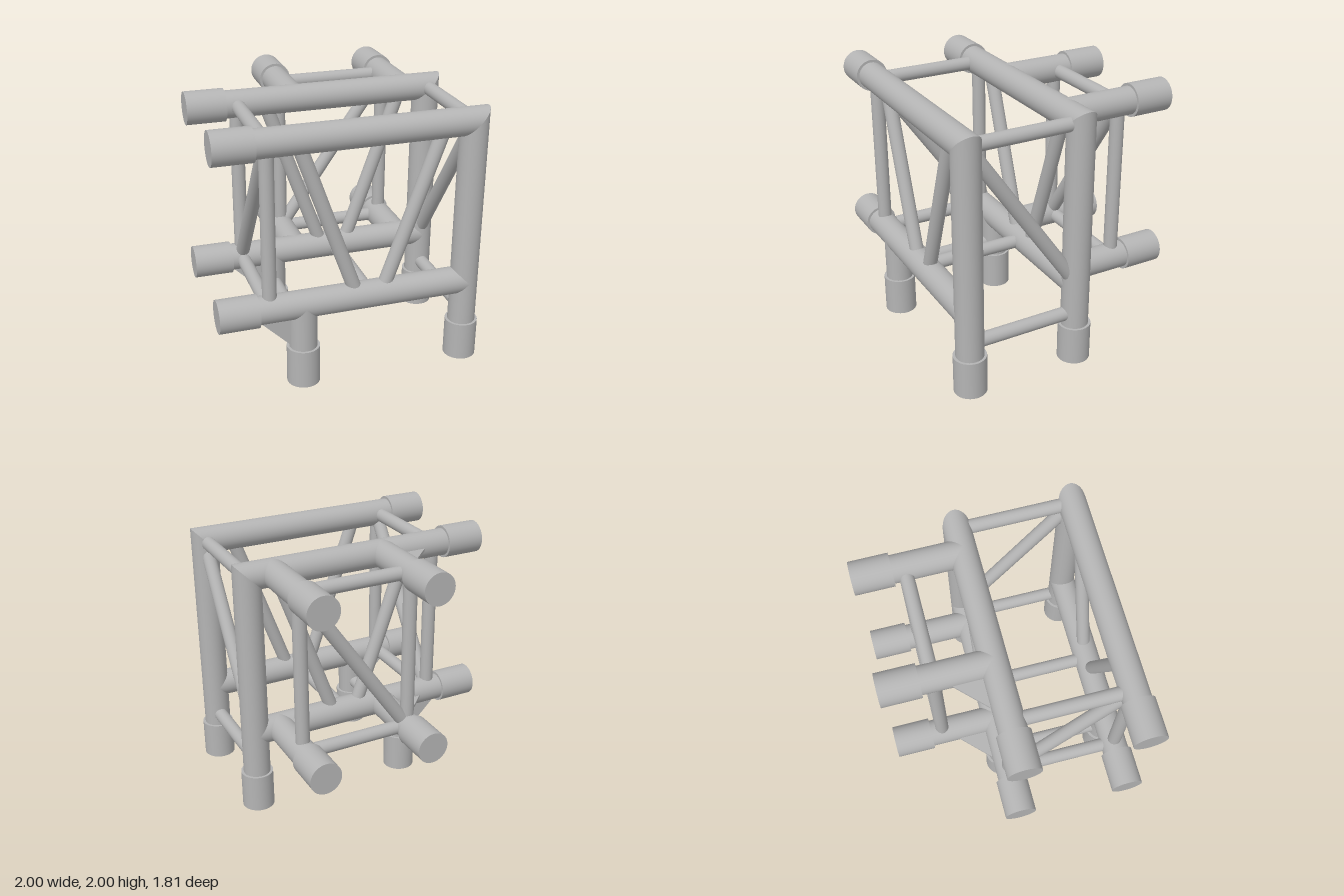
import * as THREE from 'three';

const X_END = 0.878, X_LEG = -0.375;      // long corner leg and short leg
const Z_PLANES = [0.782, -0.084];         // front and rear truss planes
const Y_TOP = 1.878, Y_LOW = 0.633;       // upper and lower chord levels
const X_ARMS = [0.682, -0.184];           // rear arms
const Z_BRACE = -0.518, X_BRACE = -0.62;  // brace stations
const R_CHORD = 0.103, R_COUPLER = 0.122, R_BRACE = 0.052;

export function createModel() {
  const group = new THREE.Group();
  const steel = new THREE.MeshStandardMaterial({ color: 0xb4b4b4 });

  function add(name, geometry) {
    const mesh = new THREE.Mesh(geometry, steel);
    mesh.name = name;
    group.add(mesh);
    return mesh;
  }

  // Round bar from a to b; an optional rule trims its far end
  function tube(name, a, b, radius, trim) {
    const start = new THREE.Vector3(...a), end = new THREE.Vector3(...b);
    const dir = end.clone().sub(start);
    const geo = new THREE.CylinderGeometry(radius, radius, dir.length(), 40);
    const p = geo.attributes.position;
    const half = dir.length() / 2;
    const far = [];
    for (let i = 0; i < p.count; i++) if (p.getY(i) > half - 1e-4) far.push(i);
    geo.applyQuaternion(new THREE.Quaternion().setFromUnitVectors(new THREE.Vector3(0, 1, 0), dir.normalize()));
    const mid = start.add(end).multiplyScalar(0.5);
    geo.translate(mid.x, mid.y, mid.z);
    if (trim) for (const i of far) trim(p, i);
    return add(name, geo);
  }
  const brace = (name, a, b) => tube(name, a, b, R_BRACE);

  // Triangular stiffening plate in the xy plane
  function gusset(name, corners) {
    const shape = new THREE.Shape(corners.map(c => new THREE.Vector2(...c)));
    const geo = new THREE.ExtrudeGeometry(shape, { depth: 0.02, bevelEnabled: false });
    geo.translate(0, 0, -0.01);
    return add(name, geo);
  }

  // 45 degree mitres where the upper chords meet the long legs
  const mitreChord = (p, i) => p.setX(i, X_END + p.getY(i) - Y_TOP);
  const mitreLeg = (p, i) => p.setY(i, Y_TOP + p.getX(i) - X_END);

  for (const z of Z_PLANES) {
    // Chords with couplers
    for (const y of [Y_TOP, Y_LOW]) {
      tube('chord', [-0.72, y, z], [X_END, y, z], R_CHORD, y === Y_TOP ? mitreChord : null);
      tube('chordCoupler', [-1, y, z], [-0.71, y, z], R_COUPLER);
    }
    // Legs with couplers
    tube('longLeg', [X_END, 0.28, z], [X_END, Y_TOP, z], R_CHORD, mitreLeg);
    tube('shortLeg', [X_LEG, 0.28, z], [X_LEG, Y_LOW, z], R_CHORD);
    for (const x of [X_END, X_LEG]) tube('legCoupler', [x, 0, z], [x, 0.295, z], R_COUPLER);
    // Upright and the two sloping braces
    brace('uprightBrace', [X_BRACE, Y_LOW, z], [X_BRACE, Y_TOP, z]);
    brace('slopingBrace', [-0.4, 1.85, z], [0.025, 0.66, z]);
    brace('slopingBrace', [0.655, 1.85, z], [0.23, 0.66, z]);
    gusset('legGusset', [[-0.7, 0.54], [-0.46, 0.3], [-0.46, 0.54]]).position.z = z;
  }

  // Rear arms with couplers, uprights and gussets
  for (const y of [Y_TOP, Y_LOW]) {
    for (const x of X_ARMS) {
      tube('rearArm', [x, y, Z_PLANES[1]], [x, y, -0.62], R_CHORD);
      tube('rearArmCoupler', [x, y, -0.61], [x, y, -0.903], R_COUPLER);
    }
    brace('rearCrossBrace', [X_ARMS[0], y, Z_BRACE], [X_ARMS[1], y, Z_BRACE]);
    const plate = gusset('armGusset', [[-0.51, 0.175], [-0.27, 0.175], [-0.27, 0.415]]);
    plate.rotation.x = -Math.PI / 2;
    plate.position.y = y;
  }
  for (const x of X_ARMS) brace('rearUpright', [x, Y_LOW, Z_BRACE], [x, Y_TOP, Z_BRACE]);
  brace('rearDiagonal', [X_ARMS[0], Y_TOP, Z_BRACE], [X_ARMS[1], Y_LOW, Z_BRACE]);

  // Cross braces joining the front and rear planes
  const [zf, zr] = Z_PLANES;
  const crossBraces = [
    [X_BRACE, Y_TOP], [X_END, Y_TOP], [X_BRACE, Y_LOW], [0.128, Y_LOW],
    [X_LEG, 0.39], [X_END, 0.39],
  ];
  for (const [x, y] of crossBraces) brace('crossBrace', [x, y, zf], [x, y, zr]);
  for (const x of [X_BRACE, X_END]) brace('sideDiagonal', [x, Y_TOP, zf], [x, Y_LOW, zr]);

  return group;
}
